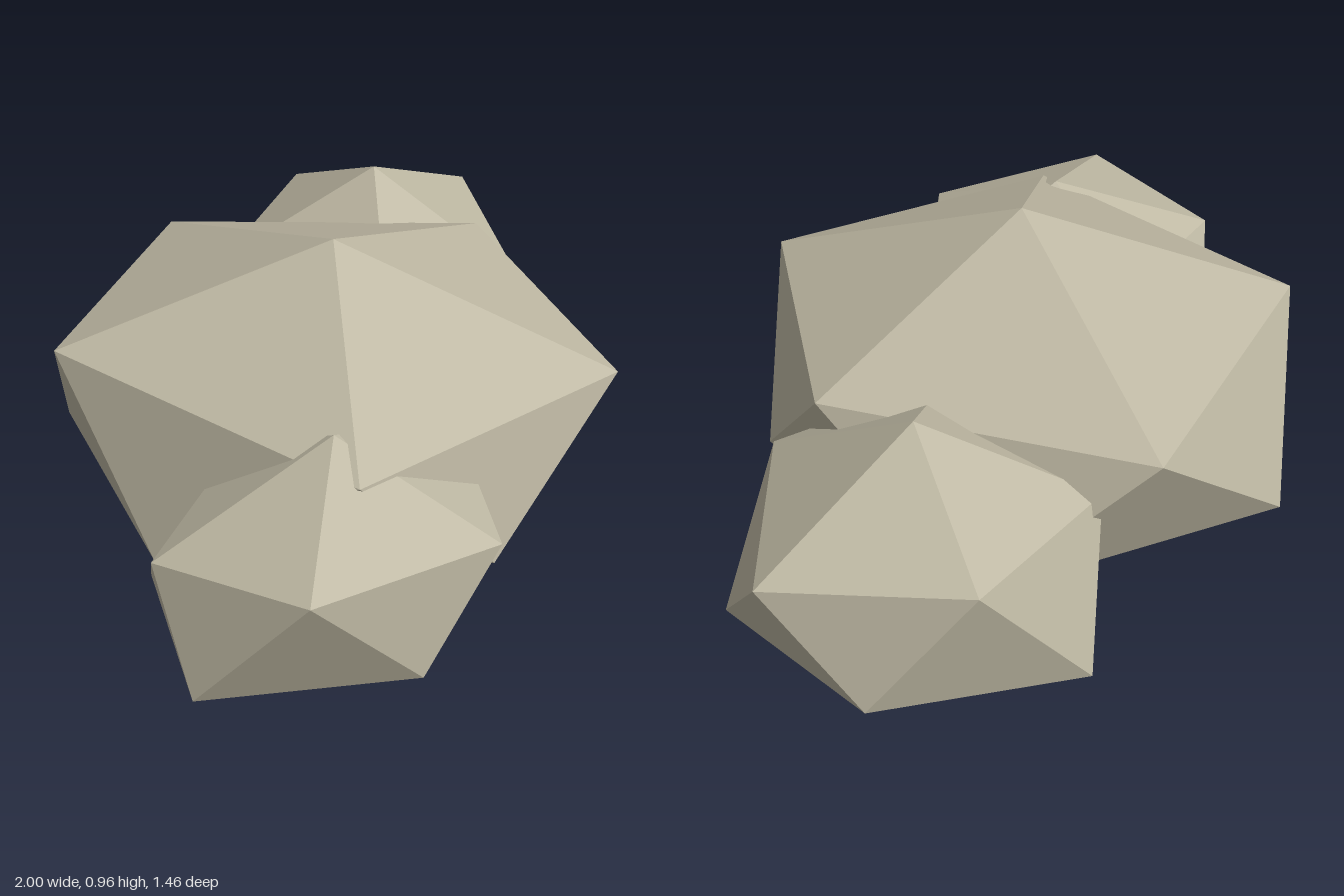
import * as THREE from 'three';

// Faceted boulder: a peak, an upper and a lower ring of five corners, and a base point.
// Both rings run from +x towards +z; lower corner i sits between upper corners i and i + 1.
function boulder(name, material, peak, upper, lower, base) {
  const corners = [];
  for (let i = 0; i < 5; i++) {
    const j = (i + 1) % 5;
    corners.push(
      peak, upper[j], upper[i],
      upper[i], upper[j], lower[i],
      lower[i], upper[j], lower[j],
      base, lower[i], lower[j]
    );
  }
  const geometry = new THREE.BufferGeometry();
  geometry.setAttribute('position', new THREE.Float32BufferAttribute(corners.flat(), 3));
  geometry.computeVertexNormals();
  const mesh = new THREE.Mesh(geometry, material);
  mesh.name = name;
  return mesh;
}

export function createModel() {
  const group = new THREE.Group();
  group.name = 'rockCluster';
  const stone = new THREE.MeshStandardMaterial({ color: 0xbdb7a2, flatShading: true });
  stone.name = 'stone';

  // Large central boulder
  group.add(boulder('mainBoulder', stone,
    [-0.11, 0.96, 0.03],
    [[0.57, 0.71, 0.02], [0.16, 0.68, 0.68], [-0.6, 0.68, 0.45], [-0.61, 0.73, -0.44], [0.13, 0.69, -0.69]],
    [[0.46, 0.33, 0.38], [-0.27, 0.34, 0.61], [-0.72, 0.33, -0.06], [-0.33, 0.31, -0.69], [0.45, 0.33, -0.43]],
    [-0.02, 0, -0.03]));

  // Smaller boulder at the back left
  group.add(boulder('backLeftBoulder', stone,
    [0.53, 0.81, -0.29],
    [[1, 0.59, -0.29], [0.62, 0.56, 0.13], [0.15, 0.57, 0.02], [0.2, 0.58, -0.57], [0.68, 0.62, -0.67]],
    [[0.91, 0.3, -0.03], [0.36, 0.25, 0.17], [0.04, 0.29, -0.2], [0.38, 0.23, -0.73], [0.89, 0.31, -0.52]],
    [0.51, 0.07, -0.21]));

  // Smaller boulder at the front right
  group.add(boulder('frontRightBoulder', stone,
    [-0.53, 0.74, 0.33],
    [[-0.1, 0.56, 0.38], [-0.45, 0.56, 0.73], [-0.91, 0.59, 0.54], [-0.93, 0.54, 0.12], [-0.47, 0.55, 0]],
    [[-0.23, 0.29, 0.57], [-0.65, 0.28, 0.66], [-1, 0.27, 0.28], [-0.66, 0.22, -0.13], [-0.19, 0.24, 0.12]],
    [-0.57, 0.09, 0.33]));

  return group;
}
